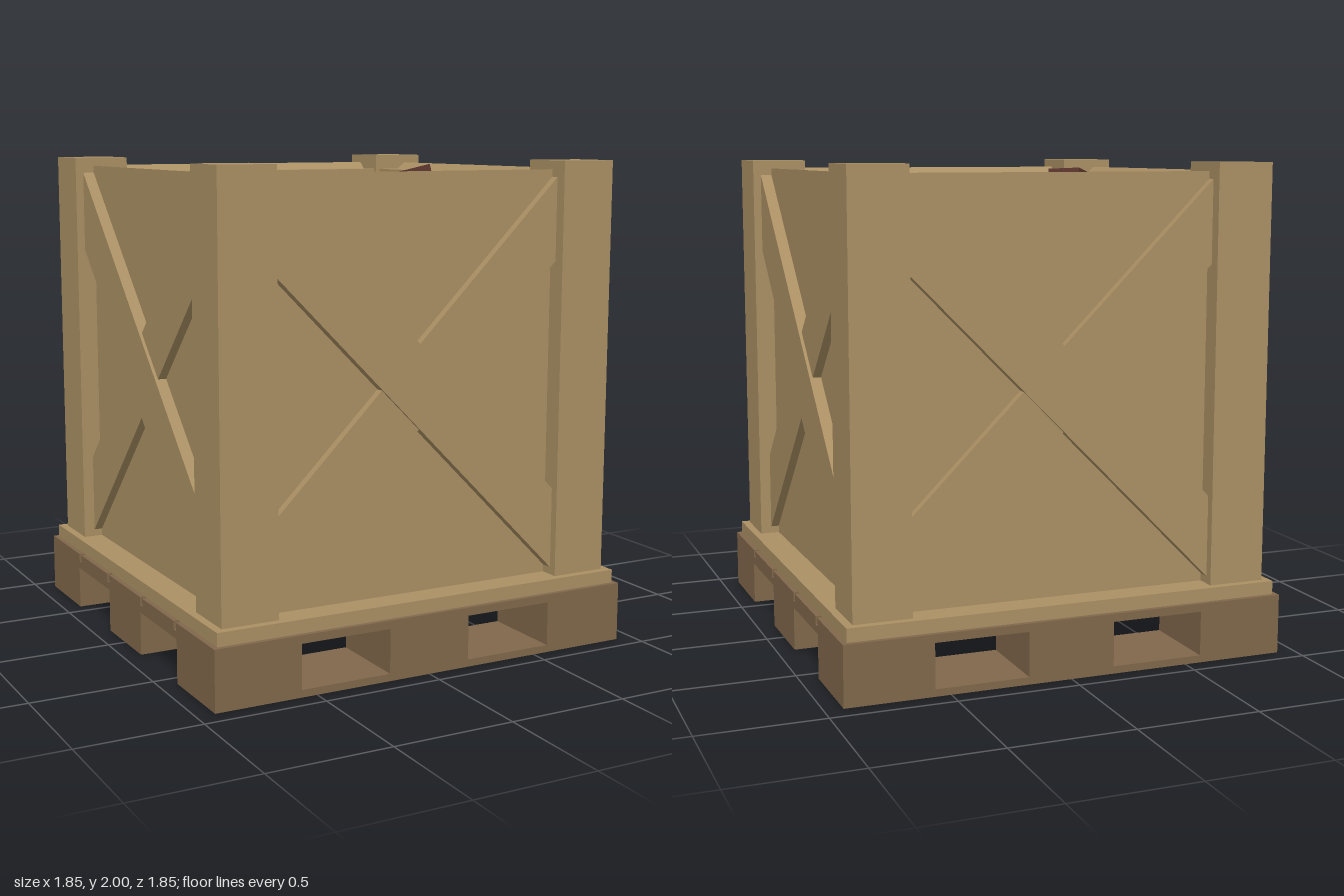
import * as THREE from 'three';

const tan = new THREE.MeshStandardMaterial({ color: 0xab9064, name: 'crate wood' });
const brown = new THREE.MeshStandardMaterial({ color: 0x80674a, name: 'pallet wood' });
const clay = new THREE.MeshStandardMaterial({ color: 0x5c352d, name: 'clay' });

function add(parent, name, geometry, material) {
  const mesh = new THREE.Mesh(geometry, material);
  mesh.name = name;
  parent.add(mesh);
  return mesh;
}

// Box given by its limits on each axis
function box(parent, name, material, [x0, x1], [y0, y1], [z0, z1]) {
  const mesh = add(parent, name, new THREE.BoxGeometry(x1 - x0, y1 - y0, z1 - z0), material);
  mesh.position.set((x0 + x1) / 2, (y0 + y1) / 2, (z0 + z1) / 2);
  return mesh;
}

function extrude(points, depth) {
  const shape = new THREE.Shape(points.map(([x, y]) => new THREE.Vector2(x, y)));
  return new THREE.ExtrudeGeometry(shape, { depth, bevelEnabled: false });
}

function makePallet() {
  const pallet = new THREE.Group();
  pallet.name = 'pallet';
  const rows = [[-0.925, -0.565], [-0.18, 0.18], [0.565, 0.925]];
  for (const z of rows) {
    box(pallet, 'bottomBoard', brown, [-0.925, 0.925], [0, 0.03], z);
    for (const x of rows) box(pallet, 'block', brown, x, [0.03, 0.18], z);
  }
  for (const x of rows) box(pallet, 'stringerBoard', brown, x, [0.18, 0.212], [-0.925, 0.925]);
  const deck = [[-0.925, -0.56], [-0.535, -0.205], [-0.18, 0.18], [0.205, 0.535], [0.56, 0.925]];
  for (const z of deck) box(pallet, 'deckBoard', brown, [-0.925, 0.925], [0.212, 0.245], z);
  return pallet;
}

// One side: a panel with a lower inner rail, and two crossed braces
function makeSide() {
  const side = new THREE.Group();
  side.name = 'crateSide';
  const panel = extrude([[0.655, 0.3], [0.79, 0.3], [0.79, 1.965], [0.755, 1.935], [0.655, 1.935]], 1.3);
  panel.translate(0, 0, -0.65).rotateY(-Math.PI / 2);
  add(side, 'panel', panel, tan);
  const w = 0.635;
  const over = [[-w, 0.33 + 2 * w], [w, 0.33], [w, 0.665], [-w, 0.665 + 2 * w]];
  const under = over.map(([x, y]) => [-x, y]).reverse();
  add(side, 'upperBrace', extrude(over, 0.048), tan).position.z = 0.79;
  add(side, 'lowerBrace', extrude(under, 0.035), tan).position.z = 0.79;
  return side;
}

// Uneven heap surface, height as a function of position
function heapHeight(x, z) {
  const mound = 0.075 * Math.cos(x * 2.1) * Math.cos(z * 2.1);
  const waves = 0.018 * Math.sin(x * 8 + z * 3) + 0.015 * Math.cos(z * 9 - x * 4 + 1);
  const corner = 0.08 * Math.exp(-((x - 0.62) ** 2 + (z - 0.62) ** 2) / 0.04);
  return 1.77 + mound + waves + corner;
}

function makeLoad() {
  const load = new THREE.Group();
  load.name = 'load';
  const heap = new THREE.PlaneGeometry(1.32, 1.32, 40, 40).rotateX(-Math.PI / 2);
  const p = heap.attributes.position;
  for (let i = 0; i < p.count; i++) p.setY(i, heapHeight(p.getX(i), p.getZ(i)));
  heap.computeVertexNormals();
  add(load, 'heap', heap, clay);

  // x, top height, z, yaw, pitch, roll
  const bricks = [
    [0, 1.88, 0, 0, 0.04, 0.03],
    [-0.05, 1.88, -0.44, 0.44, -0.05, -0.08],
    [-0.45, 1.925, 0, 0.64, 0.04, 0.25],
    [0.56, 1.93, -0.29, 1.54, -0.2, -0.14],
    [0.45, 1.88, 0.06, -0.95, 0.35, 0.04],
    [-0.21, 1.88, 0.38, 0.52, -0.16, 0.06],
  ];
  for (const [x, top, z, yaw, pitch, roll] of bricks) {
    const brick = add(load, 'brick', new THREE.BoxGeometry(0.375, 0.1, 0.15), clay);
    brick.rotation.set(pitch, yaw, roll, 'YXZ');
    brick.position.set(x, top - 0.05, z);
  }
  return load;
}

export function createModel() {
  const model = new THREE.Group();
  model.name = 'crateOnPallet';
  model.add(makePallet());

  const crate = new THREE.Group();
  crate.name = 'crate';
  box(crate, 'crateFloor', tan, [-0.905, 0.905], [0.245, 0.3], [-0.905, 0.905]);
  for (let i = 0; i < 4; i++) {
    const side = makeSide();
    box(side, 'cornerPost', tan, [0.635, 0.872], [0.3, 2], [0.635, 0.872]);
    side.rotation.y = (i * Math.PI) / 2;
    crate.add(side);
  }
  model.add(crate, makeLoad());
  return model;
}
